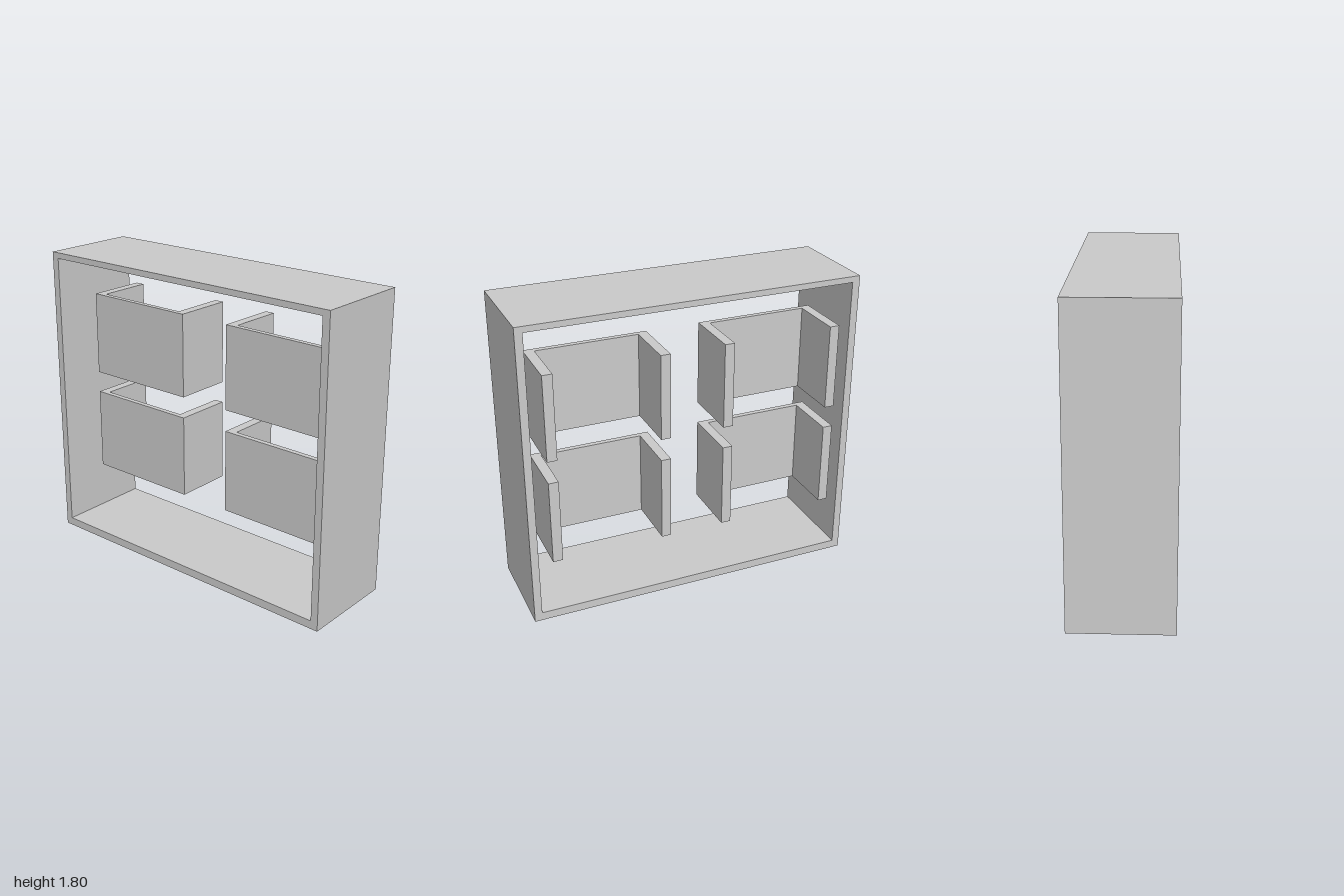
import * as THREE from 'three';

const material = new THREE.MeshStandardMaterial({ color: 0xcccccc, flatShading: true });

// Box given by its min and max corners
function block(name, [x0, y0, z0], [x1, y1, z1]) {
  const mesh = new THREE.Mesh(new THREE.BoxGeometry(x1 - x0, y1 - y0, z1 - z0), material);
  mesh.position.set((x0 + x1) / 2, (y0 + y1) / 2, (z0 + z1) / 2);
  mesh.name = name;
  return mesh;
}

// Open rectangular frame, a single extruded outline with a hole
function createFrame(back, front) {
  const rect = (T, x0, y0, x1, y1) => new T([
    new THREE.Vector2(x0, y0), new THREE.Vector2(x1, y0),
    new THREE.Vector2(x1, y1), new THREE.Vector2(x0, y1),
  ]);
  const outline = rect(THREE.Shape, -1, 0, 1, 1.803);
  outline.holes.push(rect(THREE.Path, -0.955, 0.05, 0.955, 1.768));
  const geometry = new THREE.ExtrudeGeometry(outline, { depth: front - back, bevelEnabled: false });
  const mesh = new THREE.Mesh(geometry, material);
  mesh.position.z = back;
  mesh.name = 'frame';
  return mesh;
}

// Front panel with two side panels running to the back
function createCompartment(x0, x1, y0, y1, back) {
  const front = 0.065, seam = 0.033, side = 0.058;
  const group = new THREE.Group();
  group.name = 'compartment';
  group.add(
    block('frontPanel', [x0, y0, seam], [x1, y1, front]),
    block('rightPanel', [x0, y0, back], [x0 + side, y1, seam]),
    block('leftPanel', [x1 - side, y0, back], [x1, y1, seam]),
  );
  return group;
}

export function createModel() {
  const back = -0.295, front = 0.295;
  const model = new THREE.Group();
  model.name = 'shelfUnit';
  model.add(createFrame(back, front));

  // Two columns by two rows of compartments
  for (const [x0, x1] of [[-0.888, -0.17], [0.154, 0.872]]) {
    for (const [y0, y1] of [[0.376, 0.881], [1.012, 1.52]]) {
      model.add(createCompartment(x0, x1, y0, y1, back));
    }
  }
  return model;
}
